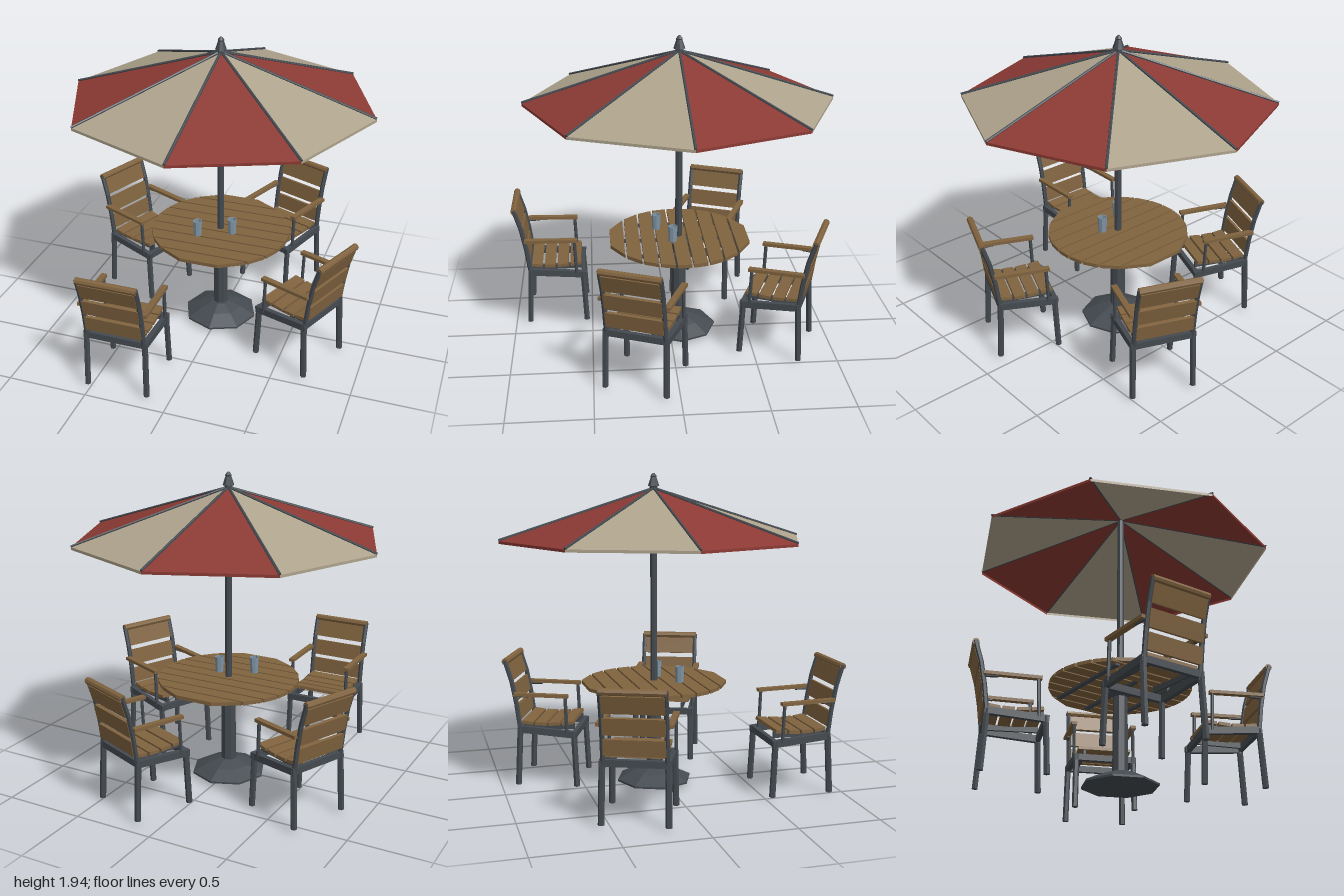
import * as THREE from 'three';

const paint = (color, side = THREE.FrontSide) =>
  new THREE.MeshStandardMaterial({ color, side, flatShading: true });
const WOOD = paint(0x80633f);
const METAL = paint(0x444a50);
const GLASS = paint(0x7f95a5, THREE.DoubleSide);
const RED = paint(0x8c3a34, THREE.DoubleSide);
const BEIGE = paint(0xaea38c, THREE.DoubleSide);
const V = (x, y, z) => new THREE.Vector3(x, y, z);

function add(parent, name, geometry, material, x = 0, y = 0, z = 0) {
  const mesh = new THREE.Mesh(geometry, material);
  mesh.name = name;
  mesh.position.set(x, y, z);
  parent.add(mesh);
  return mesh;
}

// straight rod between two points
function rod(parent, name, a, b, r, material = METAL, sides = 6) {
  const dir = b.clone().sub(a);
  const mesh = add(parent, name, new THREE.CylinderGeometry(r, r, dir.length(), sides), material);
  mesh.position.copy(a).add(b).multiplyScalar(0.5);
  mesh.quaternion.setFromUnitVectors(V(0, 1, 0), dir.normalize());
  return mesh;
}

// board lying across x, tilted in the y-z plane from point a to point b ([y, z])
function board(parent, name, width, a, b, thick, material, x = 0) {
  const dy = b[0] - a[0], dz = b[1] - a[1];
  const mesh = add(parent, name, new THREE.BoxGeometry(width, thick, Math.hypot(dy, dz)),
    material, x, (a[0] + b[0]) / 2, (a[1] + b[1]) / 2);
  mesh.rotation.x = -Math.atan2(dy, dz);
  return mesh;
}

const lathe = (points, sides) =>
  new THREE.LatheGeometry(points.map(([x, y]) => new THREE.Vector2(x, y)), sides);

// armchair facing +z
function makeChair() {
  const chair = new THREE.Group();
  const postPath = [[0.34, -0.17], [0.53, -0.195], [0.67, -0.222], [0.8, -0.262]];
  const zAt = (y) => {
    let i = 0;
    while (i < postPath.length - 2 && y > postPath[i + 1][0]) i++;
    const [a, b] = [postPath[i], postPath[i + 1]];
    return a[1] + (b[1] - a[1]) * (y - a[0]) / (b[0] - a[0]);
  };

  for (const s of [-1, 1]) {
    const x = s * 0.185;
    rod(chair, 'frontLeg', V(x, 0.36, 0.165), V(s * 0.19, 0.016, 0.182), 0.019);
    rod(chair, 'backLeg', V(x, 0.38, -0.172), V(s * 0.19, 0.016, -0.19), 0.019);
    for (let i = 0; i < 3; i++) {
      const [a, b] = [postPath[i], postPath[i + 1]];
      rod(chair, 'backPost', V(x * 0.97, a[0], a[1]), V(x * 0.97, b[0], b[1]), 0.015);
    }
    board(chair, 'seatSideRail', 0.03, [0.372, -0.185], [0.343, 0.185], 0.042, METAL, x);
    board(chair, 'slatBearer', 0.018, [0.378, -0.16], [0.385, 0.16], 0.035, METAL, s * 0.13);
    // arm and its post
    rod(chair, 'armPost', V(s * 0.195, 0.35, 0.125), V(s * 0.195, 0.585, 0.115), 0.011);
    rod(chair, 'armBracket', V(x, 0.582, -0.2), V(s * 0.195, 0.582, -0.12), 0.01);
    board(chair, 'armrest', 0.036, [0.594, -0.205], [0.588, 0.135], 0.02, WOOD, s * 0.197);
  }
  add(chair, 'seatFrontRail', new THREE.BoxGeometry(0.37, 0.04, 0.028), METAL, 0, 0.345, 0.168);
  add(chair, 'seatBackRail', new THREE.BoxGeometry(0.37, 0.04, 0.028), METAL, 0, 0.372, -0.172);

  // seat slats, gently dished
  const seat = [[0.412, -0.165], [0.402, -0.082], [0.4, 0.002], [0.406, 0.086], [0.415, 0.17]];
  for (let i = 0; i < 4; i++) {
    const [a, b] = [seat[i], seat[i + 1]];
    board(chair, 'seatSlat', 0.34, a, [b[0], b[1] - 0.014], 0.02, WOOD);
  }
  // backrest slats follow the bent posts
  for (const [lo, hi] of [[0.42, 0.515], [0.54, 0.64], [0.668, 0.772]])
    board(chair, 'backSlat', 0.35, [lo, zAt(lo) - 0.006], [hi, zAt(hi) - 0.006], 0.02, WOOD);
  rod(chair, 'topRail', V(-0.186, 0.793, -0.26), V(0.186, 0.793, -0.26), 0.021, WOOD, 8);
  return chair;
}

// round table top made of planks along x
function makeTable() {
  const table = new THREE.Group();
  table.name = 'table';
  const R = 0.44, count = 9, pitch = 2 * R / count, half = pitch / 2 - 0.006;
  const chord = (z) => Math.sqrt(Math.max(R * R - z * z, 0.0));
  for (let i = 0; i < count; i++) {
    const z = (i - (count - 1) / 2) * pitch;
    const w0 = Math.max(chord(z - half), 0.12), w1 = Math.max(chord(z + half), 0.12);
    const shape = new THREE.Shape([[-w0, -half], [w0, -half], [w1, half], [-w1, half]]
      .map(([x, y]) => new THREE.Vector2(x, y)));
    const geometry = new THREE.ExtrudeGeometry(shape, { depth: 0.022, bevelEnabled: false });
    geometry.rotateX(Math.PI / 2);
    add(table, 'tablePlank', geometry, WOOD, 0, 0.662, z);
  }
  for (const x of [-0.24, 0, 0.24])
    add(table, 'plankBearer', new THREE.BoxGeometry(0.03, 0.014, 1.75 * chord(x)), METAL, x, 0.634, 0);
  add(table, 'base', lathe([[0, 0], [0.235, 0.024], [0.235, 0.036], [0.14, 0.082],
    [0.06, 0.112], [0, 0.112]], 8), METAL);
  add(table, 'pedestal', new THREE.CylinderGeometry(0.045, 0.048, 0.52, 8), METAL, 0, 0.36, 0);
  add(table, 'pedestalFlare', new THREE.CylinderGeometry(0.1, 0.046, 0.05, 8), METAL, 0, 0.61, 0);
  return table;
}

function makeUmbrella() {
  const umbrella = new THREE.Group();
  umbrella.name = 'umbrella';
  const R = 0.94, apex = V(0, 1.845, 0);
  const rim = (i, y) => V(R * Math.cos(i * Math.PI / 4), y, R * Math.sin(i * Math.PI / 4));
  for (let i = 0; i < 8; i++) {
    // panel with a short hanging edge
    const a = rim(i, 1.548), b = rim(i + 1, 1.548), c = rim(i, 1.532), d = rim(i + 1, 1.532);
    const geometry = new THREE.BufferGeometry().setFromPoints([apex, b, a, a, b, d, a, d, c]);
    geometry.computeVertexNormals();
    add(umbrella, 'canopyPanel', geometry, i % 2 ? RED : BEIGE);
    rod(umbrella, 'rib', V(0, 1.85, 0), rim(i, 1.552), 0.008);
  }
  add(umbrella, 'pole', new THREE.CylinderGeometry(0.022, 0.022, 1.23, 8), METAL, 0, 1.235, 0);
  add(umbrella, 'finial', lathe([[0, 1.84], [0.024, 1.84], [0.024, 1.86], [0.036, 1.862],
    [0.018, 1.915], [0.02, 1.922], [0.006, 1.94], [0, 1.94]], 8), METAL);
  return umbrella;
}

export function createModel() {
  const model = new THREE.Group();
  model.name = 'patioSet';
  const cz = -0.06;

  const table = makeTable(), umbrella = makeUmbrella();
  table.position.z = umbrella.position.z = cz;
  model.add(table, umbrella);

  // tumblers
  for (const [x, z] of [[-0.11, 0.075], [0.09, -0.015]])
    add(model, 'tumbler', lathe([[0, 0], [0.025, 0], [0.03, 0.1], [0.026, 0.1], [0.022, 0.012],
      [0, 0.012]], 8), GLASS, x, 0.664, z);

  // three chairs face the table centre, the fourth is pulled out
  const chair = makeChair();
  const place = (name, x, z, turn) => {
    const copy = chair.clone();
    copy.name = name;
    copy.position.set(x, 0, z);
    copy.rotation.y = turn;
    model.add(copy);
  };
  const D = 0.64, s = Math.sin(Math.PI / 8), c = Math.cos(Math.PI / 8);
  for (const [name, dx, dz] of [['backChair', s, -c], ['rightChair', -c, -s], ['leftChair', c, s]])
    place(name, D * dx, cz + D * dz, Math.atan2(-dx, -dz));
  place('frontChair', -0.33, 0.718, Math.PI);
  return model;
}
